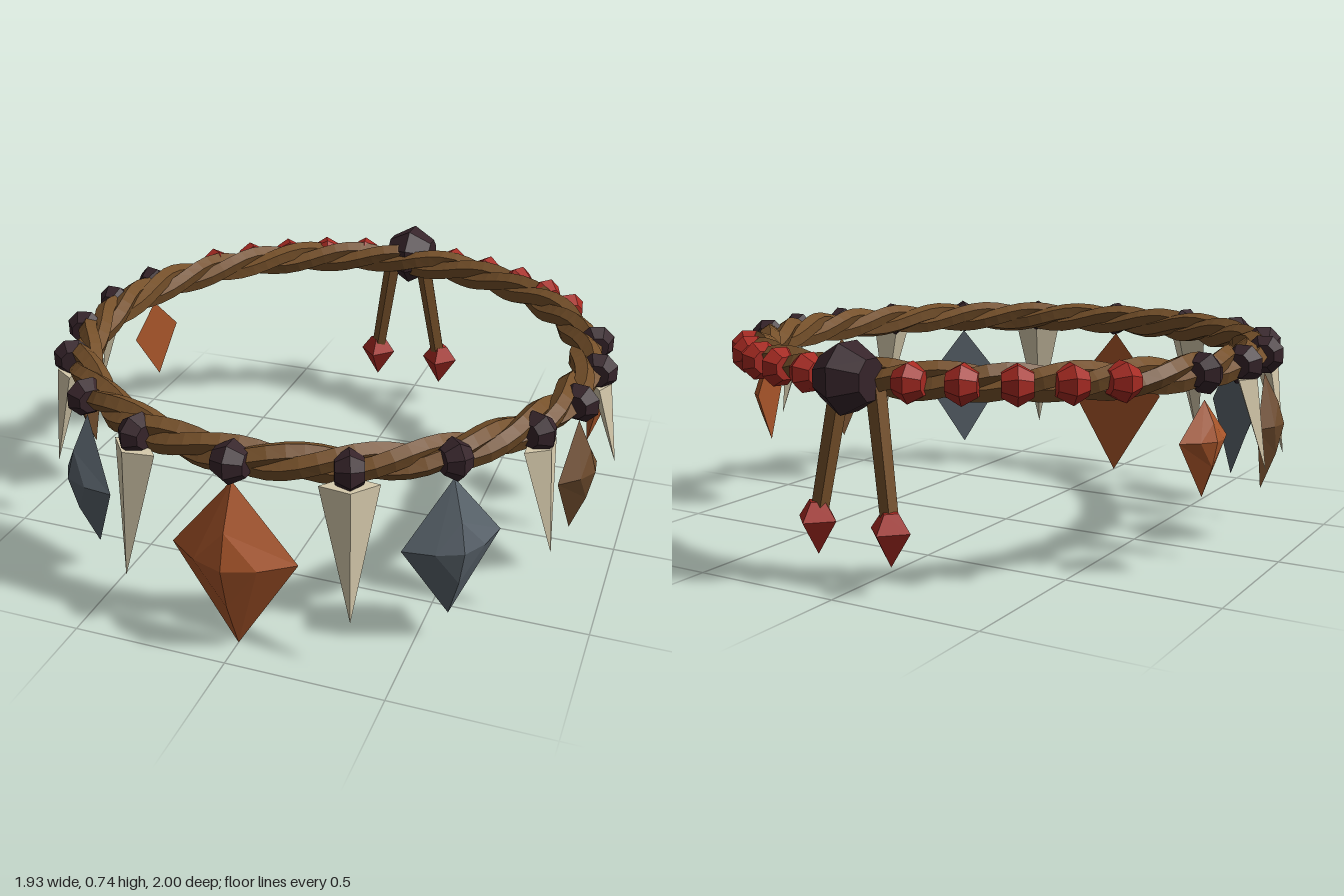
import * as THREE from 'three';

const mat = (name, color) => {
  const m = new THREE.MeshStandardMaterial({ color, flatShading: true });
  m.name = name;
  return m;
};

const RING_Y = 0.64, RING_R = 0.838, RING_Z = 0.01;
const rad = THREE.MathUtils.degToRad;

// One strand of the twisted band
class Strand extends THREE.Curve {
  constructor(phase) { super(); this.phase = phase; }
  getPoint(t, target = new THREE.Vector3()) {
    const a = t * Math.PI * 2, p = a * 9 + this.phase;
    const r = RING_R + 0.027 * Math.cos(p);
    return target.set(Math.sin(a) * r, RING_Y + 0.027 * Math.sin(p), Math.cos(a) * r);
  }
}

// Faceted bead whose axis runs along x: wide in the middle, flat at both ends
function beadGeometry(radius, halfWidth) {
  const profile = [[0, -1], [0.58, -1], [1, 0], [0.58, 1], [0, 1]]
    .map(([r, h]) => new THREE.Vector2(r * radius, h * halfWidth));
  return new THREE.LatheGeometry(profile, 8).rotateY(Math.PI / 8).rotateZ(Math.PI / 2);
}

// Kite-shaped gem: flat back, bevelled front and a low peak
function gemGeometry(top, mid, bottom, w, depth) {
  const outer = [[0, top], [-w, mid], [0, bottom], [w, mid]];
  const inner = outer.map(([x, y]) => [x * 0.5, mid + (y - mid) * 0.45, depth * 0.68]);
  const rim = outer.map(([x, y]) => [x, y, 0]);
  const peak = [0, mid, depth], v = [];
  for (let i = 0; i < 4; i++) {
    const j = (i + 1) % 4;
    v.push(...rim[i], ...rim[j], ...inner[j], ...rim[i], ...inner[j], ...inner[i]);
    v.push(...inner[i], ...inner[j], ...peak);
  }
  v.push(...rim[0], ...rim[2], ...rim[1], ...rim[0], ...rim[3], ...rim[2]);
  const g = new THREE.BufferGeometry();
  g.setAttribute('position', new THREE.Float32BufferAttribute(v, 3));
  g.computeVertexNormals();
  return g;
}

// Four-sided fang, point down, leaning outward
function fangGeometry(tipY, w) {
  const top = 0.6, h = top - tipY;
  const g = new THREE.ConeGeometry(1, h, 4).rotateX(Math.PI);
  g.scale(w, 1, w * 0.55).translate(0, top - h / 2, 0);
  const p = g.attributes.position;
  for (let i = 0; i < p.count; i++) {
    p.setZ(i, p.getZ(i) + 0.895 + 0.072 * (top - p.getY(i)) / h);
  }
  g.computeVertexNormals();
  return g;
}

export function createModel() {
  const wood = mat('twisted leather brown', 0x75502a);
  const dark = mat('dark knot', 0x36242a);
  const red = mat('red bead', 0xa62a22);
  const bone = mat('bone', 0xd6caac);
  const amber = mat('amber stone', 0xa8552a);
  const slate = mat('slate stone', 0x59636b);
  const umber = mat('umber stone', 0x6c4a2c);

  const model = new THREE.Group();
  model.name = 'circlet';
  const add = (parent, name, geometry, material) => {
    const m = new THREE.Mesh(geometry, material);
    m.name = name;
    parent.add(m);
    return m;
  };

  // Band and everything set around it
  const ring = new THREE.Group();
  ring.name = 'ring';
  ring.position.z = RING_Z;
  model.add(ring);
  for (let i = 0; i < 3; i++) {
    const strand = new Strand(i * Math.PI * 2 / 3);
    add(ring, 'bandStrand', new THREE.TubeGeometry(strand, 108, 0.034, 5, true), wood);
  }

  const station = (degrees, name) => {
    const g = new THREE.Group();
    g.name = name;
    g.rotation.y = rad(degrees);
    ring.add(g);
    return g;
  };

  // Knots with alternating gems and fangs, mirrored left and right
  const gem = (...size) => gemGeometry(...size).translate(0, 0, 0.885);
  const hangings = [
    [0, 'gem', gem(0.58, 0.335, 0.01, 0.2, 0.105), amber],
    [22, 'fang', fangGeometry(0.18, 0.088), bone],
    [42, 'gem', gem(0.58, 0.37, 0.11, 0.163, 0.085), slate],
    [62, 'fang', fangGeometry(0.255, 0.075), bone],
    [78, 'gem', gem(0.58, 0.415, 0.19, 0.137, 0.07), umber],
    [94, 'fang', fangGeometry(0.315, 0.062), bone],
    [108.5, 'gem', gem(0.56, 0.44, 0.262, 0.11, 0.055), amber],
  ];
  const knot = beadGeometry(0.068, 0.05);
  const sideKnot = beadGeometry(0.066, 0.042);
  for (const [angle, kind, geometry, material] of hangings) {
    for (const s of angle ? [1, -1] : [1]) {
      const g = station(s * angle, kind + 'Station');
      add(g, 'knot', angle ? sideKnot : knot, dark).position.set(0, RING_Y, 0.882);
      add(g, kind, geometry, material);
    }
  }

  // Red beads along the back
  const bead = beadGeometry(0.064, 0.046);
  for (const angle of [12, 22, 32, 42, 52]) {
    for (const s of [1, -1]) {
      const g = station(180 + s * angle, 'beadStation');
      add(g, 'redBead', bead, red).position.set(0, RING_Y, 0.88);
    }
  }

  // Large knot at the back
  add(model, 'backKnot', beadGeometry(0.113, 0.083), dark).position.set(0, 0.645, -0.895);

  // Two hanging cords with red tips
  const tipProfile = [[0, -0.11], [0.07, 0], [0.03, 0.055], [0, 0.06]]
    .map(([r, y]) => new THREE.Vector2(r, y));
  const tip = new THREE.LatheGeometry(tipProfile, 4);
  for (const s of [1, -1]) {
    const from = new THREE.Vector3(s * 0.06, 0.64, -0.85);
    const to = new THREE.Vector3(s * 0.13, 0.22, -0.885);
    const dir = from.clone().sub(to);
    const cord = add(model, 'cord', new THREE.CylinderGeometry(0.032, 0.028, dir.length(), 5), wood);
    cord.position.copy(from).add(to).multiplyScalar(0.5);
    cord.quaternion.setFromUnitVectors(new THREE.Vector3(0, 1, 0), dir.normalize());
    add(model, 'cordTip', tip, red).position.set(s * 0.133, 0.208, -0.888);
  }
  return model;
}
